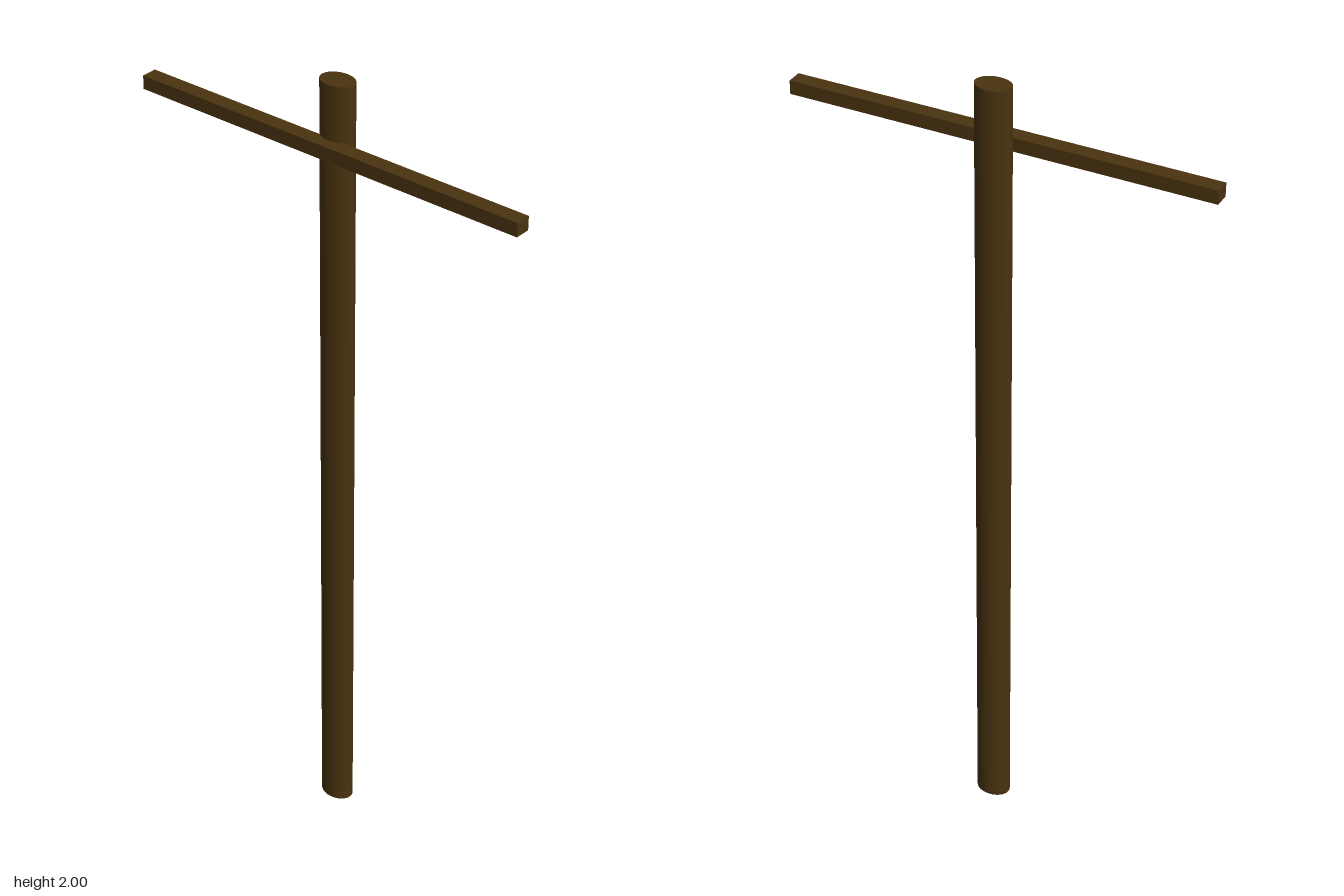
import * as THREE from 'three';

export function createModel() {
  const model = new THREE.Group();
  const wood = new THREE.MeshStandardMaterial({ color: 0x4a3310 });
  wood.name = 'dark wood';

  // Upright pole with an oval section
  const poleGeometry = new THREE.CylinderGeometry(1, 1, 2, 32);
  poleGeometry.scale(0.043, 1, 0.032);
  const pole = new THREE.Mesh(poleGeometry, wood);
  pole.name = 'pole';
  pole.position.set(-0.004, 1, -0.014);

  // Crossbar fixed to the front of the pole
  const crossbar = new THREE.Mesh(new THREE.BoxGeometry(1.022, 0.033, 0.038), wood);
  crossbar.name = 'crossbar';
  crossbar.position.set(0, 1.854, 0.027);

  model.add(pole, crossbar);
  return model;
}
